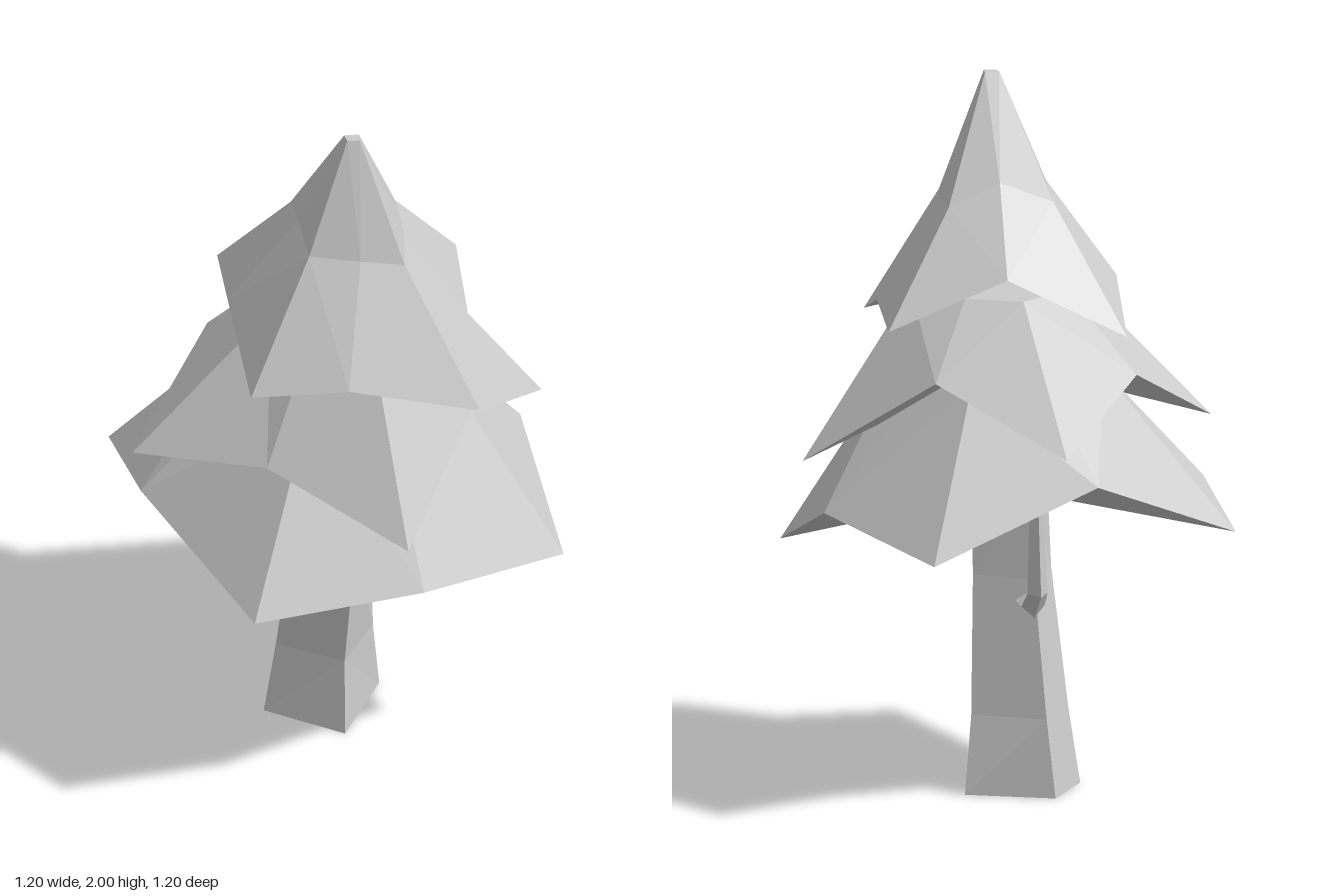
import * as THREE from 'three';

const grey = new THREE.MeshStandardMaterial({ color: 0xcccccc });
grey.name = 'pale grey';

// Skin a stack of rings (bottom to top, each running front, +x, back, -x) and cap both ends.
// underY sets the height of the middle of the lower cap.
function loft(name, rings, underY) {
  const pos = [];
  const tri = (...pts) => pts.forEach((p) => pos.push(...p));
  const middle = (ring) => [0, 1, 2].map((k) => ring.reduce((s, p) => s + p[k], 0) / ring.length);
  const n = rings[0].length;
  const first = rings[0], last = rings[rings.length - 1];
  const under = middle(first), over = middle(last);
  if (underY !== undefined) under[1] = underY;
  for (let i = 0; i < n; i++) {
    const j = (i + 1) % n;
    for (let r = 0; r + 1 < rings.length; r++) {
      const lo = rings[r], hi = rings[r + 1];
      if (i % 2 === 0) {
        tri(lo[i], lo[j], hi[i]);
        tri(lo[j], hi[j], hi[i]);
      } else {
        tri(lo[i], lo[j], hi[j]);
        tri(lo[i], hi[j], hi[i]);
      }
    }
    tri(under, first[j], first[i]);
    tri(over, last[i], last[j]);
  }
  const geo = new THREE.BufferGeometry();
  geo.setAttribute('position', new THREE.Float32BufferAttribute(pos, 3));
  geo.computeVertexNormals();
  const mesh = new THREE.Mesh(geo, grey);
  mesh.name = name;
  return mesh;
}

// Ring at one height from x, z pairs.
const level = (y, pts) => pts.map(([x, z]) => [x, y, z]);

// Bent twig with a square section, running through points in the y-z plane.
function twig(name, path) {
  const rings = path.map(([x, y, z, r], i) => {
    const a = path[Math.max(i - 1, 0)], b = path[Math.min(i + 1, path.length - 1)];
    const dir = new THREE.Vector3(b[0] - a[0], b[1] - a[1], b[2] - a[2]).normalize();
    const side = new THREE.Vector3(1, 0, 0);
    const up = new THREE.Vector3().crossVectors(side, dir).normalize();
    return [[0, 1], [1, 0], [0, -1], [-1, 0]].map(([u, v]) => [
      x + side.x * u * r, y + up.y * v * r, z + up.z * v * r,
    ]);
  });
  return loft(name, rings);
}

export function createModel() {
  const tree = new THREE.Group();
  tree.name = 'pineTree';

  // Four-sided trunk, flared at the foot and kinked near the twigs
  tree.add(loft('trunk', [
    level(0, [[-0.01, 0.07], [0.17, -0.14], [-0.05, -0.27], [-0.18, -0.12]]),
    level(0.22, [[0, 0.04], [0.14, -0.11], [-0.035, -0.24], [-0.148, -0.11]]),
    level(0.61, [[0.015, 0.085], [0.12, -0.07], [-0.02, -0.18], [-0.12, -0.05]]),
    level(0.9, [[0.02, 0.04], [0.115, -0.045], [-0.01, -0.15], [-0.11, -0.04]]),
  ]));

  // Bare twigs on the back and front of the trunk
  tree.add(twig('backTwig', [
    [-0.01, 0.55, -0.14, 0.035], [-0.01, 0.54, -0.2, 0.035], [0, 0.59, -0.26, 0.03], [0.01, 0.86, -0.275, 0.018],
  ]));
  tree.add(twig('frontTwig', [
    [0.01, 0.64, 0.03, 0.035], [0.01, 0.64, 0.085, 0.035], [0.02, 0.68, 0.115, 0.027], [0.02, 0.82, 0.145, 0.015],
  ]));

  // Foliage skirts: four drooping corners with raised points between them
  tree.add(loft('lowerFoliage', [
    [[0.53, 0.65, 0.36], [0.57, 0.83, -0.09], [0.42, 0.77, -0.56], [-0.06, 0.96, -0.58],
      [-0.51, 0.77, -0.47], [-0.56, 0.84, -0.08], [-0.42, 0.69, 0.45], [0.06, 0.72, 0.51]],
    level(1.2, [[0.25, 0.155], [0.23, -0.04], [0.2, -0.27], [-0.02, -0.28],
      [-0.21, -0.22], [-0.24, -0.02], [-0.17, 0.21], [0.04, 0.24]]),
  ], 0.84));
  tree.add(loft('middleFoliage', [
    [[-0.02, 0.93, 0.6], [0.28, 1.12, 0.28], [0.6, 0.96, 0], [0.31, 1.22, -0.28],
      [0.04, 1.05, -0.6], [-0.28, 1.2, -0.3], [-0.6, 1, -0.04], [-0.32, 1.08, 0.28]],
    level(1.42, [[-0.01, 0.29], [0.16, 0.19], [0.27, 0.02], [0.17, -0.14],
      [0.03, -0.23], [-0.13, -0.14], [-0.21, 0.02], [-0.15, 0.18]]),
  ], 1.19));
  tree.add(loft('topFoliage', [
    [[0.24, 1.26, 0.47], [0.33, 1.37, 0.13], [0.42, 1.36, -0.2], [0.1, 1.5, -0.29],
      [-0.21, 1.34, -0.41], [-0.31, 1.43, -0.06], [-0.36, 1.31, 0.26], [-0.11, 1.34, 0.37]],
    [[0.1, 1.64, 0.25], [0.15, 1.65, 0.11], [0.18, 1.66, -0.04], [0.04, 1.725, -0.07],
      [-0.1, 1.67, -0.12], [-0.13, 1.7, 0.02], [-0.15, 1.67, 0.16], [-0.02, 1.66, 0.22]],
    level(2, [[0.012, 0.13], [0.016, 0.115], [0.02, 0.1], [0, 0.095],
      [-0.02, 0.09], [-0.021, 0.105], [-0.022, 0.12], [-0.005, 0.125]]),
  ], 1.44));

  return tree;
}
